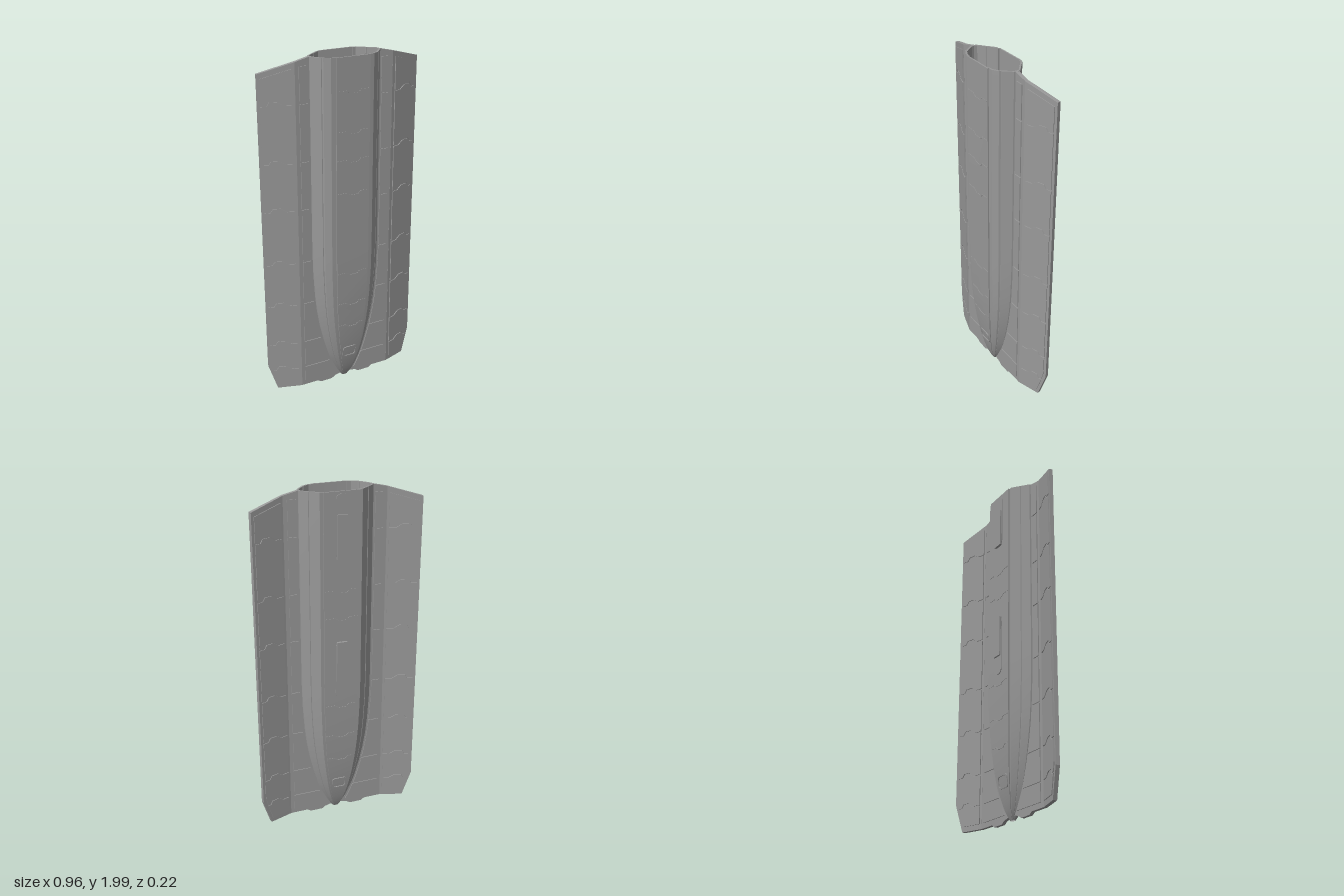
import * as THREE from 'three';
import { toCreasedNormals } from 'three/addons/utils/BufferGeometryUtils.js';

const grey = new THREE.MeshStandardMaterial({ color: 0x999999, side: THREE.DoubleSide });

// Taper of the hollow body: height, width factor, depth factor
const taper = [
  [0.01, 0.09, 0.1], [0.03, 0.17, 0.2], [0.06, 0.265, 0.31], [0.1, 0.36, 0.42], [0.15, 0.47, 0.53],
  [0.2, 0.56, 0.62], [0.3, 0.7, 0.75], [0.4, 0.81, 0.84], [0.5, 0.89, 0.9],
  [0.6, 0.94, 0.945], [0.75, 0.985, 0.985], [0.9, 1, 1], [2, 1, 1],
];
// Right half of the cross-section (x, z), back to front, with a fine groove at each shoulder
const half = [
  [0.1, -0.098], [0.1, -0.09], [0.118, -0.09], [0.161, -0.055], [0.163, -0.05], [0.167, -0.05],
  [0.206, -0.018], [0.21, 0], [0.206, 0.018], [0.168, 0.066], [0.164, 0.066], [0.16, 0.076],
  [0.126, 0.096], [0.1, 0.098], [0.1, 0.105],
];
const section = [...half, ...half.slice().reverse().map(([x, z]) => [-x, z])];

// Width factor (column 1) or depth factor (column 2) at a height
function factor(y, column) {
  const i = Math.max(1, taper.findIndex((row) => y <= row[0]));
  const a = taper[i - 1], b = taper[i];
  return THREE.MathUtils.mapLinear(y, a[0], b[0], a[column], b[column]);
}
const halfWidth = (y) => 0.21 * factor(y, 1);

// Closed skin: up the outside, over the rim, down the inside
function bodyGeometry() {
  const inner = taper.map(([y, w, d]) => [y, w * 0.945, d * 0.92]).reverse();
  const rings = [...taper, ...inner, taper[0]];
  const pos = [], index = [], n = section.length;
  for (const [y, w, d] of rings) for (const [x, z] of section) pos.push(x * w, y, z * d);
  for (let r = 0; r < rings.length - 1; r++) {
    for (let i = 0; i < n; i++) {
      const a = r * n + i, b = r * n + (i + 1) % n;
      index.push(a, a + n, b, b, a + n, b + n);
    }
  }
  const g = new THREE.BufferGeometry();
  g.setAttribute('position', new THREE.Float32BufferAttribute(pos, 3));
  g.setIndex(index);
  return toCreasedNormals(g, 0.25);
}

// Flat slab from an outline, folded backwards beyond x = 0.29
function slab(name, points, side, thickness) {
  const shape = new THREE.Shape(points.map(([x, y]) => new THREE.Vector2(x * side, y)));
  const g = new THREE.ExtrudeGeometry(shape, { depth: thickness, bevelEnabled: false });
  g.translate(0, 0, -thickness / 2);
  const p = g.attributes.position;
  for (let i = 0; i < p.count; i++) {
    const over = Math.abs(p.getX(i)) - 0.29;
    if (over < 0.001) continue;
    const z = p.getZ(i);
    p.setX(i, p.getX(i) + z * 0.3 * side);
    p.setZ(i, z - over * 0.316);
  }
  g.computeVertexNormals();
  const m = new THREE.Mesh(g, grey);
  m.name = name;
  return m;
}

function makeWing(side) {
  const wing = new THREE.Group();
  wing.name = side > 0 ? 'leftWing' : 'rightWing';

  // Flange hugging the body
  const edge = taper.filter(([y]) => y > 0.02).map(([y]) => [halfWidth(y) - 0.005, y]);
  wing.add(slab('flange', [
    ...edge, [0.29, 1.98], [0.29, 0.02], [0.185, 0.02], [0.165, 0.006], [0.09, 0.006], [0.07, 0.02],
  ], side, 0.02));

  // Narrow rib along the inside of the body
  const ribRows = taper.filter(([y]) => y > 0.05 && y < 0.8).map(([y]) => y);
  wing.add(slab('innerRib', [
    ...ribRows.map((y) => [halfWidth(y) - 0.005, y]),
    ...ribRows.slice().reverse().map((y) => [halfWidth(y) - 0.022, y]),
  ], side, 0.016));

  // Folded outer leaf
  wing.add(slab('outerLeaf', [
    [0.29, 1.98], [0.477, 1.925], [0.477, 0.18], [0.427, 0.02], [0.29, 0.02],
  ], side, 0.021));

  // Raised panels separated by narrow stepped seams
  const seams = [1.76, 1.44, 1.165, 0.845, 0.58, 0.325, 0.15];
  const gap = 0.004;
  const outerX = (y) => (y < 0.2 ? 0.462 - (0.2 - y) * 0.27 : 0.462);
  const seamLine = (y) => [
    [0.306, y], [0.345, y], [0.378, y + 0.022], [0.418, y + 0.022], [0.432, y], [outerX(y), y],
  ];
  const leafLines = [[[0.306, 1.95], [0.462, 1.905]], ...seams.map(seamLine),
    [[0.306, 0.045], [outerX(0.045), 0.045]]];
  for (let i = 0; i < leafLines.length - 1; i++) {
    const top = leafLines[i].map(([x, y]) => [x, y - gap]);
    const low = leafLines[i + 1].map(([x, y]) => [x, y + gap]);
    const corner = i === leafLines.length - 3 ? [[0.462, 0.2]] : [];
    wing.add(slab('leafPanel', [...top, ...corner, ...low.reverse()], side, 0.029));
  }
  const stripLines = [1.96, ...seams, 0.045];
  for (let i = 0; i < stripLines.length - 1; i++) {
    const y1 = stripLines[i] - gap, y0 = stripLines[i + 1] + gap;
    const inner = [];
    for (let k = 0; k <= 6; k++) {
      const y = y0 + (y1 - y0) * k / 6;
      inner.push([halfWidth(y) + 0.01, y]);
    }
    wing.add(slab('flangePanel', [...inner, [0.268, y1], [0.268, y0]], side, 0.03));
  }
  return wing;
}

function roundedRect(Type, w, h, r) {
  const s = new Type();
  s.moveTo(-w + r, -h);
  s.lineTo(w - r, -h); s.quadraticCurveTo(w, -h, w, -h + r);
  s.lineTo(w, h - r); s.quadraticCurveTo(w, h, w - r, h);
  s.lineTo(-w + r, h); s.quadraticCurveTo(-w, h, -w, h - r);
  s.lineTo(-w, -h + r); s.quadraticCurveTo(-w, -h, -w + r, -h);
  return s;
}

// Rounded rectangular frame, centred on its thickness
function makeFrame(name, w, h, r, border, depth) {
  const shape = roundedRect(THREE.Shape, w, h, r);
  shape.holes.push(roundedRect(THREE.Path, w - border, h - border, r - border / 2));
  const g = new THREE.ExtrudeGeometry(shape, { depth, bevelEnabled: false, curveSegments: 5 });
  g.translate(0, 0, -depth / 2);
  const m = new THREE.Mesh(g, grey);
  m.name = name;
  return m;
}

function makeTipFrame(name, z, tilt) {
  const m = makeFrame(name, 0.045, 0.037, 0.02, 0.008, 0.01);
  m.position.set(0, 0.21, z);
  m.rotation.x = tilt;
  return m;
}

// Drain collar with a floor inside the tip
function makeCollar() {
  const collar = new THREE.Group();
  collar.name = 'drainCollar';
  const ring = makeFrame('collarRing', 0.03, 0.02, 0.012, 0.009, 0.02);
  ring.rotation.x = Math.PI / 2;
  ring.position.y = 0.055;
  const floor = new THREE.Mesh(new THREE.BoxGeometry(0.036, 0.008, 0.02), grey);
  floor.name = 'collarFloor';
  floor.position.y = 0.03;
  collar.add(ring, floor);
  return collar;
}

// Back clip: thick tongue on a thin rounded base that runs on past one end
function makeClip(name, y, dir) {
  const clip = new THREE.Group();
  clip.name = name;
  const tongue = new THREE.Mesh(new THREE.BoxGeometry(0.06, 0.24, 0.014), grey);
  tongue.name = 'clipTongue';
  tongue.position.z = -0.104;
  const g = new THREE.ExtrudeGeometry(roundedRect(THREE.Shape, 0.034, 0.175, 0.034),
    { depth: 0.006, bevelEnabled: false, curveSegments: 6 });
  const base = new THREE.Mesh(g, grey);
  base.name = 'clipBase';
  base.position.set(0, dir * 0.053, -0.102);
  clip.add(tongue, base);
  clip.position.y = y;
  return clip;
}

// Fine stepped seam across the front or back plate
function makeSeam(y, z, flip) {
  const w = 0.095 * factor(y, 1);
  const line = [[-w, 0], [-0.04, 0], [-0.015, -0.016], [0.03, -0.016], [0.045, 0], [w, 0]];
  const outline = [...line, ...line.slice().reverse().map(([x, v]) => [x, v + 0.004])];
  const m = slab('plateSeam', outline, flip, 0.004);
  m.position.set(0, y, z * factor(y, 2));
  return m;
}

export function createModel() {
  const model = new THREE.Group();
  model.name = 'sheath';
  const body = new THREE.Mesh(bodyGeometry(), grey);
  body.name = 'body';
  model.add(body, makeWing(1), makeWing(-1), makeCollar());
  model.add(makeTipFrame('frontTipFrame', 0.066, 0.16), makeTipFrame('backTipFrame', -0.062, -0.15));
  model.add(makeClip('upperClip', 1.76, 1), makeClip('lowerClip', 1.04, -1));
  for (const y of [0.41, 0.56, 0.76, 1.25, 1.44, 1.6, 1.82]) model.add(makeSeam(y, 0.105, 1));
  for (const y of [0.4, 0.56, 0.76, 1.3, 1.46]) model.add(makeSeam(y, -0.098, -1));

  // Stand on the ground and centre front to back
  const box = new THREE.Box3().setFromObject(model);
  const c = box.getCenter(new THREE.Vector3());
  for (const part of model.children) {
    part.position.y -= box.min.y;
    part.position.z -= c.z;
  }
  return model;
}
